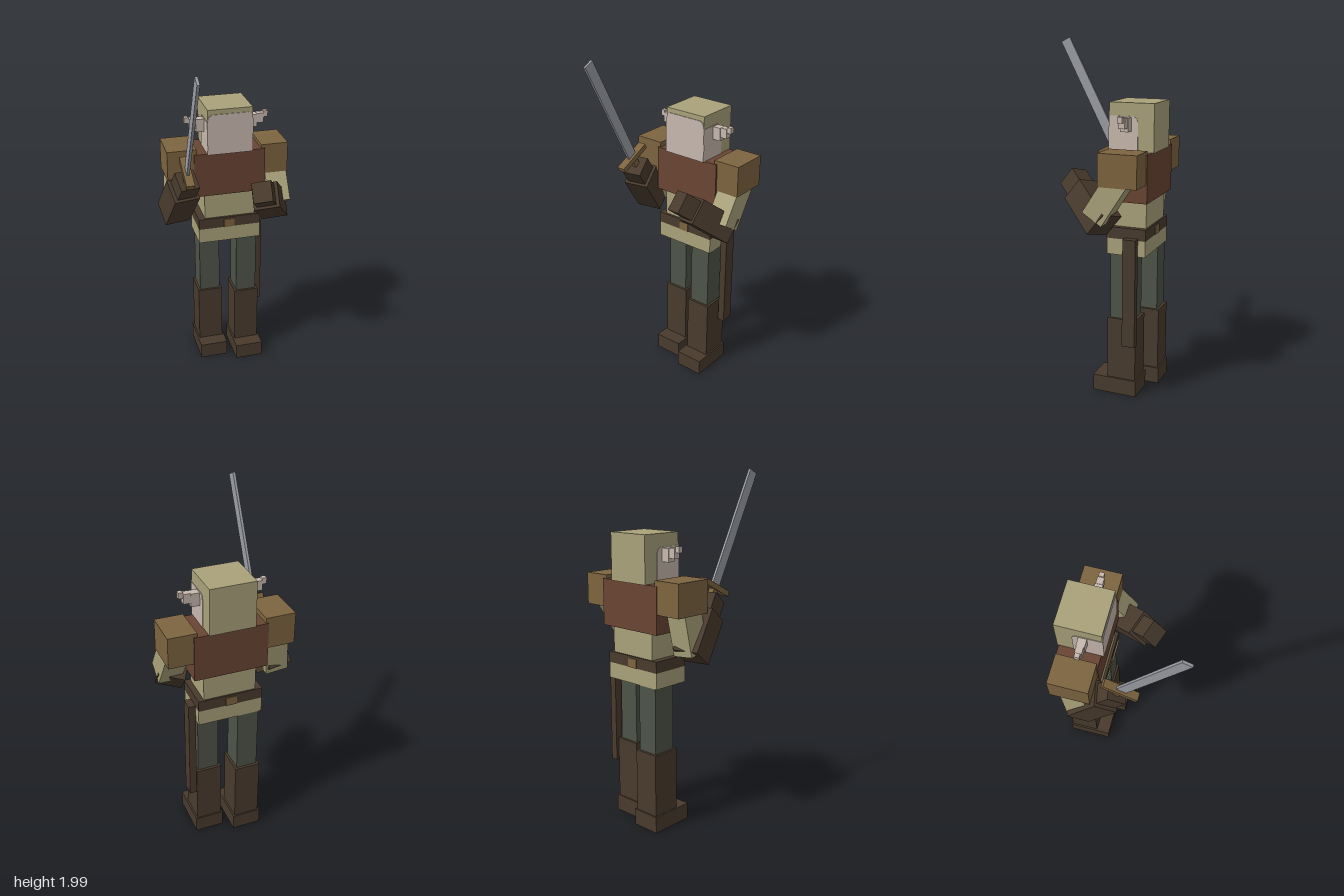
import * as THREE from 'three';

const mat = (name, color) => {
  const m = new THREE.MeshStandardMaterial({ color });
  m.name = name;
  return m;
};

export function createModel() {
  const model = new THREE.Group();
  const cloth = mat('cream cloth', 0xa9a27a);
  const leather = mat('red brown leather', 0x694533);
  const tan = mat('tan leather', 0x7d643f);
  const dark = mat('dark brown', 0x493b2d);
  const green = mat('grey green trousers', 0x4e5448);
  const skin = mat('pale skin', 0xc7b8ae);
  const steel = mat('steel', 0x9b9ea5);

  const add = (name, geo, material) => {
    const mesh = new THREE.Mesh(geo, material);
    mesh.name = name;
    model.add(mesh);
    return mesh;
  };
  // Box given by its limits on each axis
  const box = (name, m, [x0, x1], [y0, y1], [z0, z1]) => {
    const b = add(name, new THREE.BoxGeometry(x1 - x0, y1 - y0, z1 - z0), m);
    b.position.set((x0 + x1) / 2, (y0 + y1) / 2, (z0 + z1) / 2);
    return b;
  };
  // Box running from point a along direction dir; side is its rough width axis
  const limb = (name, m, a, dir, length, width, height, side = [1, 0, 0]) => {
    const d = new THREE.Vector3(...dir).normalize();
    const s = new THREE.Vector3(...side);
    s.addScaledVector(d, -s.dot(d)).normalize();
    const n = new THREE.Vector3().crossVectors(s, d);
    const b = add(name, new THREE.BoxGeometry(width, length, height), m);
    b.quaternion.setFromRotationMatrix(new THREE.Matrix4().makeBasis(s, d, n));
    b.position.set(...a).addScaledVector(d, length / 2);
    return b;
  };
  const plate = (name, points) => {
    const shape = new THREE.Shape(points.map(p => new THREE.Vector2(...p)));
    return add(name, new THREE.ExtrudeGeometry(shape, { depth: 0.004, bevelEnabled: false }), skin);
  };

  // Head with hood, and thin skin plates for the face
  box('head', cloth, [-0.11, 0.15], [1.4, 1.664], [-0.365, -0.112]);
  plate('faceFront', [[-0.112, 1.4], [0.152, 1.4], [0.152, 1.595], [0.143, 1.625],
    [0.125, 1.636], [-0.085, 1.636], [-0.103, 1.625], [-0.112, 1.595]]).position.z = -0.112;
  for (const [name, x] of [['faceLeft', 0.153], ['faceRight', -0.109]]) {
    const p = plate(name, [[-0.275, 1.4], [-0.11, 1.4], [-0.11, 1.592], [-0.25, 1.592], [-0.268, 1.58], [-0.275, 1.56]]);
    p.rotation.y = -Math.PI / 2;
    p.position.x = x;
  }

  // Stepped pointed ears: offsets from the head, heights, half depth
  for (const s of [1, -1]) {
    [[0, 0.05, 1.513, 1.587, 0.023], [0.05, 0.09, 1.534, 1.59, 0.019], [0.09, 0.115, 1.566, 1.6, 0.014]]
      .forEach(([a, b, y0, y1, r], i) => {
        const xs = s > 0 ? [0.15 + a, 0.15 + b] : [-0.11 - b, -0.11 - a];
        box((s > 0 ? 'leftEar' : 'rightEar') + (i + 1), skin, xs, [y0, y1], [-0.215 - r, -0.215 + r]);
      });
  }

  // Torso, belt and skirt
  box('chestArmour', leather, [-0.187, 0.23], [1.14, 1.402], [-0.358, -0.123]);
  box('shirt', cloth, [-0.13, 0.172], [0.98, 1.14], [-0.336, -0.132]);
  box('belt', dark, [-0.169, 0.205], [0.926, 0.99], [-0.345, -0.118]);
  box('buckle', tan, [-0.017, 0.046], [0.926, 0.977], [-0.349, -0.114]);
  box('skirt', cloth, [-0.169, 0.205], [0.835, 0.926], [-0.343, -0.12]);

  // Legs; the right one stands further back
  for (const [side, x, z] of [['left', 0.125, 0], ['right', -0.091, -0.063]]) {
    box(side + 'Trouser', green, [x - 0.062, x + 0.062], [0.45, 0.84], [z - 0.275, z - 0.135]);
    box(side + 'Boot', dark, [x - 0.075, x + 0.075], [0.09, 0.456], [z - 0.29, z - 0.122]);
    box(side + 'Foot', dark, [x - 0.085, x + 0.085], [0, 0.095], [z - 0.298, z - 0.038]);
  }

  box('scabbard', dark, [0.207, 0.248], [0.317, 0.937], [-0.302, -0.228]);

  // Shoulder pads
  box('leftShoulderPad', tan, [0.21, 0.37], [1.243, 1.422], [-0.351, -0.133]);
  box('rightShoulderPad', tan, [-0.342, -0.172], [1.25, 1.432], [-0.355, -0.13]);

  // Left arm, bent across the body
  const ld = [-0.417, 0.598, 0.684], lw = [0.907, 0.225, 0.357];
  limb('leftUpperArm', cloth, [0.3, 1.29, -0.242], [0, -0.84, 0.54], 0.27, 0.13, 0.13);
  limb('leftGauntlet', dark, [0.298, 1.02, -0.143], ld, 0.266, 0.151, 0.15, lw);
  limb('leftHand', dark, [0.187, 1.18, 0.039], ld, 0.1, 0.112, 0.12, lw);

  // Right arm, raised with the sword
  const rd = [0.12, 0.8, 0.59], rw = [0.98, 0, -0.2];
  limb('rightUpperArm', cloth, [-0.265, 1.3, -0.24], [-0.1, -0.98, 0.13], 0.27, 0.13, 0.13);
  limb('rightGauntlet', dark, [-0.3, 1.017, -0.216], rd, 0.266, 0.151, 0.15, rw);
  limb('rightHand', dark, [-0.267, 1.23, -0.059], rd, 0.1, 0.112, 0.12, rw);

  // Sword: grip, guard and flat blade along one axis
  const sd = [0, 0.888, 0.459];
  limb('swordGrip', tan, [-0.26, 1.276, -0.026], sd, 0.1, 0.036, 0.036);
  limb('swordGuard', tan, [-0.26, 1.35, 0.012], sd, 0.03, 0.048, 0.21);
  limb('swordBlade', steel, [-0.26, 1.37, 0.022], sd, 0.684, 0.015, 0.06);
  return model;
}
